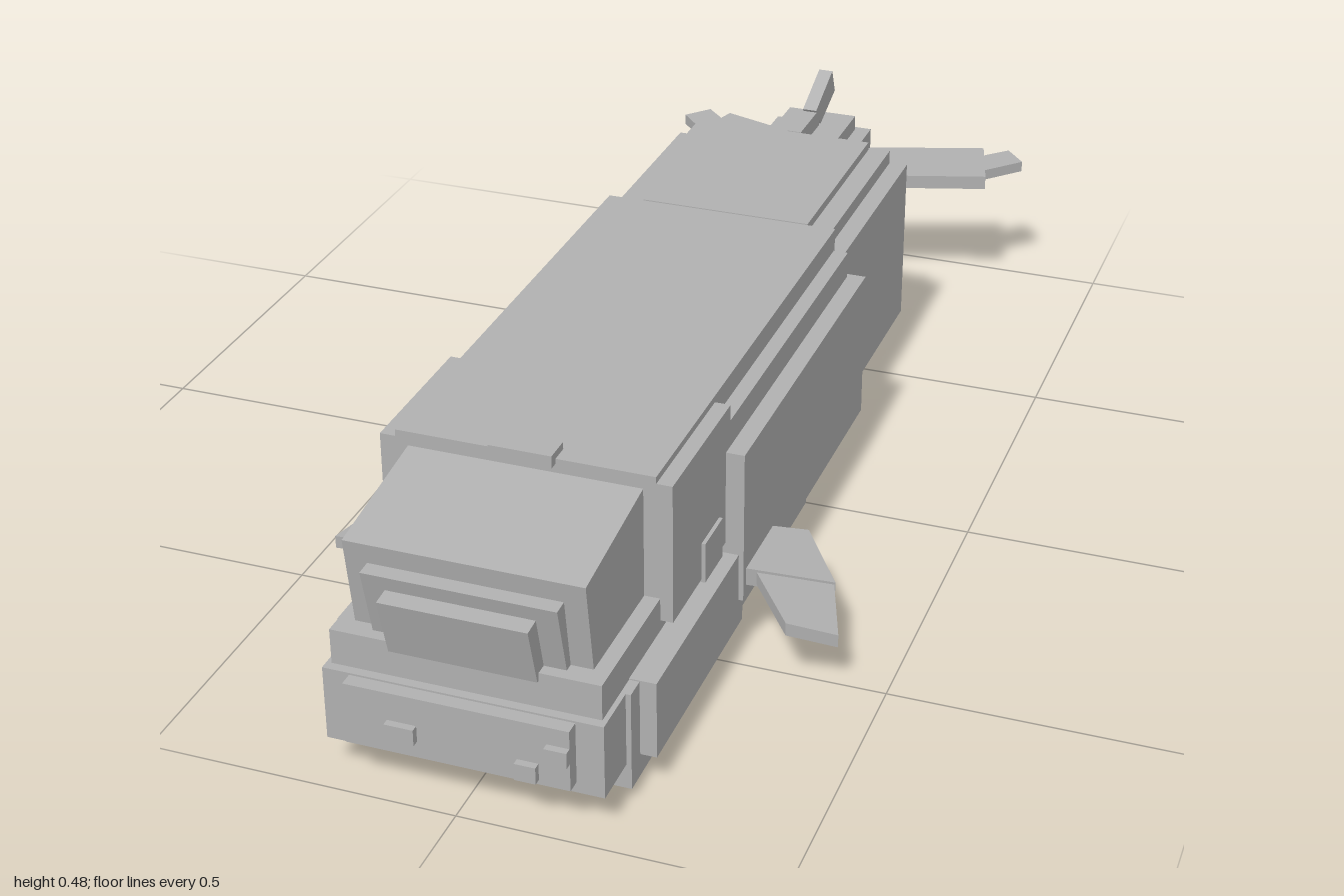
import * as THREE from 'three';

export function createModel() {
  const whale = new THREE.Group();
  whale.name = 'blockWhale';
  const grey = new THREE.MeshStandardMaterial({ name: 'grey', color: 0xb0b0b0, flatShading: true });

  const add = (name, geometry) => {
    const mesh = new THREE.Mesh(geometry, grey);
    mesh.name = name;
    whale.add(mesh);
    return mesh;
  };
  // Box from its limits on each axis
  const box = (name, x0, x1, y0, y1, z0, z1) =>
    add(name, new THREE.BoxGeometry(x1 - x0, y1 - y0, z1 - z0)
      .translate((x0 + x1) / 2, (y0 + y1) / 2, (z0 + z1) / 2));
  // Box centred on x = 0
  const slab = (name, half, y0, y1, z0, z1) => box(name, -half, half, y0, y1, z0, z1);
  const polygon = (points) => new THREE.Shape(points.map(([a, b]) => new THREE.Vector2(a, b)));
  // Side outline of [z, y] points, widened evenly to both sides
  const profile = (name, half, points) =>
    add(name, new THREE.ExtrudeGeometry(polygon(points), { depth: half * 2, bevelEnabled: false })
      .rotateY(-Math.PI / 2).translate(half, 0, 0));
  // Plan outline of [x, z] points, mirrored in pairs and sloped outward
  const finPair = (name, points, top, thick, slope = 0) => {
    for (const side of [1, -1]) {
      const g = new THREE.ExtrudeGeometry(polygon(points.map(([x, z]) => [x * side, z])),
        { depth: thick, bevelEnabled: false }).rotateX(Math.PI / 2).translate(0, top, 0);
      const p = g.attributes.position;
      for (let i = 0; i < p.count; i++) p.setY(i, p.getY(i) + slope * (Math.abs(p.getX(i)) - 0.26));
      g.computeVertexNormals();
      add(name + (side > 0 ? 'Left' : 'Right'), g);
    }
  };

  // Main body, as nested slabs
  slab('bodySides', 0.26, 0.105, 0.365, -0.165, 0.48);
  slab('bodyShoulders', 0.23, 0.065, 0.41, -0.155, 0.475);
  slab('bodyCore', 0.205, 0.03, 0.44, -0.15, 0.47);
  slab('back', 0.205, 0.36, 0.448, -0.16, 0.715);
  slab('belly', 0.213, 0, 0.045, 0, 0.48);

  // Head and snout
  slab('head', 0.23, 0.205, 0.437, 0.46, 0.715);
  slab('upperLip', 0.21, 0.185, 0.243, 0.46, 0.95);
  profile('snout', 0.185, [[0.70, 0.2], [0.915, 0.235], [0.94, 0.393], [0.70, 0.427]]);
  profile('snoutPlate', 0.15, [[0.90, 0.24], [0.93, 0.24], [0.96, 0.358], [0.92, 0.36]]);
  profile('noseBlock', 0.115, [[0.90, 0.23], [0.955, 0.23], [0.983, 0.33], [0.93, 0.335]]);
  slab('blowhole', 0.05, 0.44, 0.46, 0.685, 0.73);
  for (const s of [1, -1]) {
    box(s > 0 ? 'eyeLeft' : 'eyeRight', s * 0.2315 - 0.0045, s * 0.2315 + 0.0045, 0.2, 0.268, 0.51, 0.59);
  }

  // Lower jaw
  slab('jaw', 0.226, 0.02, 0.185, 0.46, 0.88);
  slab('jawSides', 0.252, 0.058, 0.187, 0.46, 0.845);
  slab('chin', 0.218, 0.062, 0.185, 0.86, 0.965);
  slab('chinPlate', 0.175, 0.08, 0.182, 0.95, 0.988);
  for (const [x0, x1, y0, y1] of [
    [-0.107, -0.061, 0.108, 0.135], [0.094, 0.127, 0.088, 0.116], [0.14, 0.175, 0.127, 0.153],
  ]) box('barnacle', x0, x1, y0, y1, 0.98, 1.0);

  // Rear body
  slab('rearSides', 0.22, 0.1, 0.4, -0.565, -0.15);
  slab('rearCore', 0.188, 0.07, 0.425, -0.56, -0.16);
  slab('rearRidge', 0.15, 0.3, 0.44, -0.55, -0.18);
  slab('rearBelly', 0.18, 0.045, 0.1, -0.55, -0.18);

  // Tail stock and small dorsal fin
  slab('tailStock', 0.093, 0.135, 0.37, -0.768, -0.55);
  slab('tailRidge', 0.065, 0.3, 0.398, -0.755, -0.55);
  slab('tailKeel', 0.08, 0.105, 0.14, -0.755, -0.55);
  slab('tailBelly', 0.065, 0.08, 0.11, -0.735, -0.55);
  slab('dorsalBase', 0.013, 0.39, 0.43, -0.69, -0.575);
  profile('dorsalTip', 0.013, [[-0.67, 0.435], [-0.77, 0.477], [-0.79, 0.43], [-0.70, 0.397]]);

  // Flukes
  slab('flukeRoot', 0.082, 0.236, 0.276, -0.86, -0.75);
  finPair('fluke', [[0.04, -0.91], [0.265, -0.985], [0.302, -0.853], [0.075, -0.78]], 0.266, 0.026);
  finPair('flukeTip', [[0.262, -0.95], [0.312, -1.0], [0.35, -0.955], [0.29, -0.89]], 0.262, 0.02);

  // Pectoral fins
  finPair('flipper', [[0.22, 0.36], [0.31, 0.302], [0.385, 0.4], [0.255, 0.47]], 0.157, 0.03, -0.32);
  finPair('flipperTip', [[0.275, 0.46], [0.383, 0.4], [0.425, 0.515], [0.35, 0.545]], 0.153, 0.022, -0.32);

  return whale;
}
